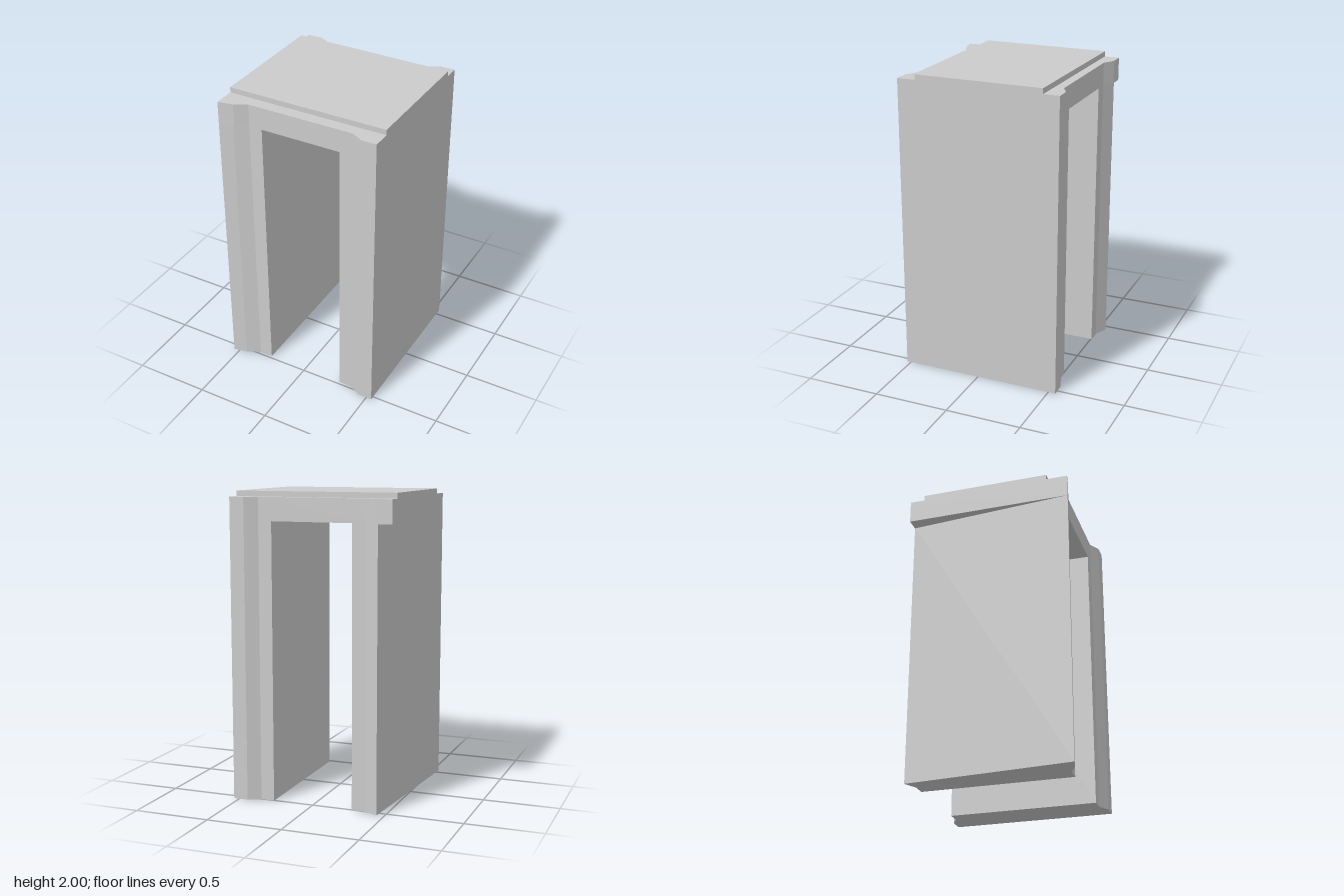
import * as THREE from 'three';

const material = new THREE.MeshStandardMaterial({ color: 0xcccccc, flatShading: true });

// Raises a plan outline of [x, z] points from y0 to y1.
function raisePlan(name, plan, y0, y1) {
  const shape = new THREE.Shape(plan.map(([x, z]) => new THREE.Vector2(x, -z)));
  const geometry = new THREE.ExtrudeGeometry(shape, { depth: y1 - y0, bevelEnabled: false });
  geometry.rotateX(-Math.PI / 2);
  geometry.translate(0, y0, 0);
  const mesh = new THREE.Mesh(geometry, material);
  mesh.name = name;
  return mesh;
}

export function createModel() {
  const group = new THREE.Group();
  group.name = 'doorway';
  const doorTop = 1.815, bandTop = 1.965;

  // Right leg: its outer wall tapers inward toward the back
  group.add(raisePlan('rightLeg', [
    [-0.54, 0.545], [-0.45, 0.525], [-0.36, 0.482], [-0.27, 0.482],
    [-0.27, -0.505], [-0.36, -0.505], [-0.45, -0.548],
  ], 0, doorTop));

  // Left leg: straight outer wall with pilasters at both ends
  group.add(raisePlan('leftLeg', [
    [0.27, 0.482], [0.36, 0.482], [0.44, 0.527], [0.537, 0.527],
    [0.537, -0.548], [0.44, -0.548], [0.36, -0.505], [0.27, -0.505],
  ], 0, doorTop));

  // Lintel across both legs, overhanging the tapered one
  group.add(raisePlan('lintel', [
    [-0.54, 0.545], [-0.44, 0.525], [-0.36, 0.482], [0.36, 0.482], [0.44, 0.527], [0.537, 0.527],
    [0.537, -0.548], [0.44, -0.548], [0.36, -0.505], [-0.36, -0.505], [-0.44, -0.548], [-0.54, -0.548],
  ], doorTop, bandTop));

  // Roof slab set back from the front and back
  group.add(raisePlan('roofSlab', [
    [-0.54, 0.403], [0.537, 0.405], [0.537, -0.443], [-0.54, -0.45],
  ], bandTop, 2));

  return group;
}
